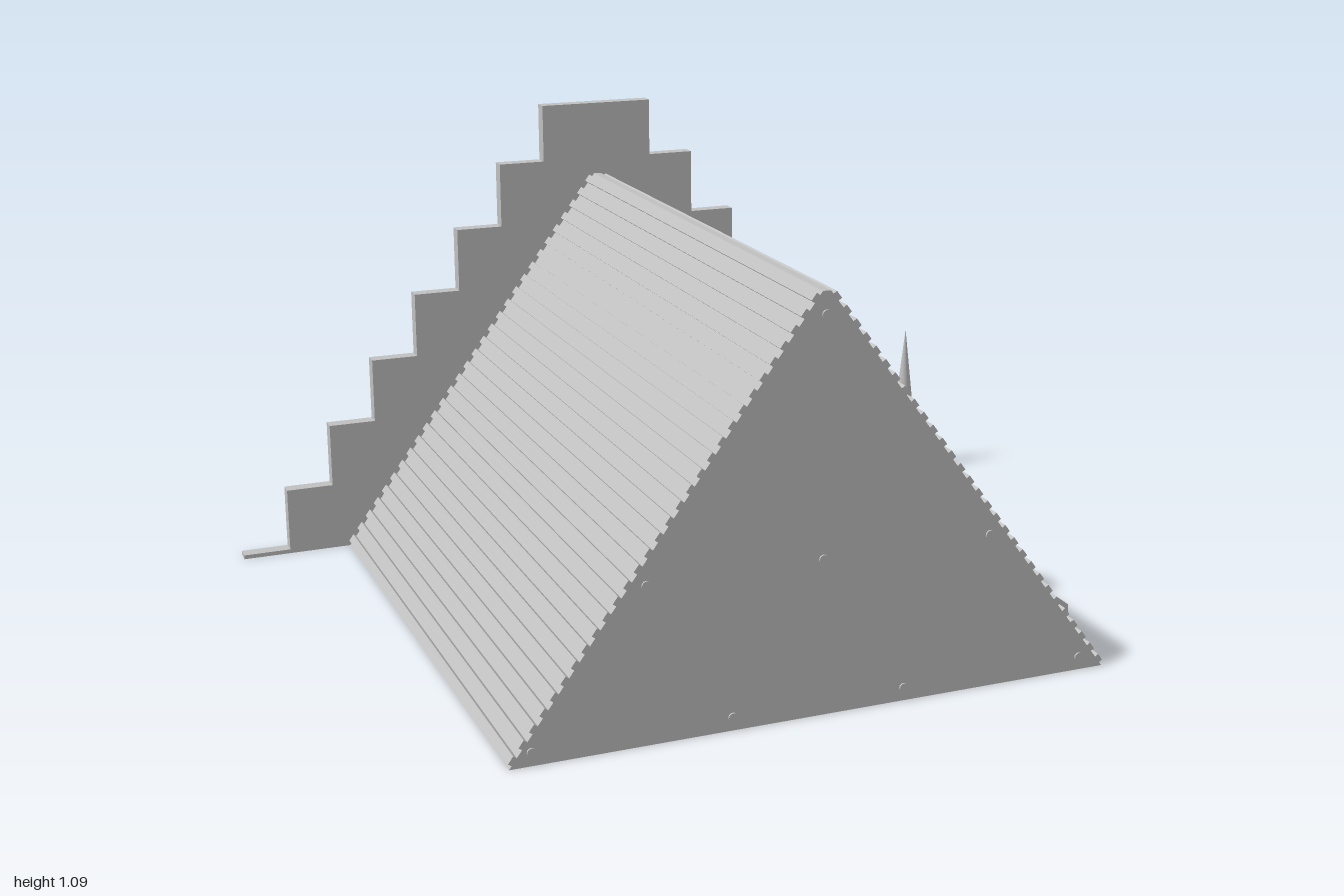
import * as THREE from 'three';

const grey = new THREE.MeshStandardMaterial({ color: 0xc0c0c0 });
grey.name = 'plain grey';

const HALF = 0.688; // half length of the roof along its ridge

export function createModel() {
  const model = new THREE.Group();
  model.name = 'steppedGableRoof';
  const house = new THREE.Group();
  house.name = 'roofAssembly';
  house.rotation.y = -0.3365;
  house.position.set(0.058, 0, 0.125);
  model.add(house);

  const add = (name, geometry) => {
    const mesh = new THREE.Mesh(geometry, grey);
    mesh.name = name;
    house.add(mesh);
    return mesh;
  };

  // Extrude a side profile of [z, y] points along x from x0 to x1
  const slab = (name, points, x0, x1) => {
    const shape = new THREE.Shape(points.map(([z, y]) => new THREE.Vector2(z, y)));
    const geometry = new THREE.ExtrudeGeometry(shape, { depth: x1 - x0, bevelEnabled: false });
    geometry.rotateY(-Math.PI / 2);
    geometry.translate(x1, 0, 0);
    return add(name, geometry);
  };

  // Mirror a right-hand profile so that it closes on both sides
  const mirrored = (half) => [...half, ...half.map(([z, y]) => [-z, y]).reverse()];

  // Roof prism with fine horizontal ribs on both slopes
  const foot = new THREE.Vector2(0.677, 0);
  const top = new THREE.Vector2(0.009, 0.908);
  const along = top.clone().sub(foot);
  const out = new THREE.Vector2(along.y, -along.x).normalize().multiplyScalar(0.009);
  const ribs = 30;
  const slope = [[foot.x, foot.y]];
  for (let i = 0; i < ribs; i++) {
    const a = foot.clone().addScaledVector(along, (i + 0.25) / ribs);
    const b = foot.clone().addScaledVector(along, (i + 0.75) / ribs);
    for (const p of [a, a.clone().add(out), b.clone().add(out), b]) slope.push([p.x, p.y]);
  }
  slope.push([top.x, top.y]);
  // Outward normal of the slope points to +z and up
  slab('ribbedRoof', mirrored(slope), -HALF, HALF);

  // Stepped gable wall standing on a thin base strip
  const heights = [0.01, 0.165, 0.32, 0.477, 0.635, 0.79, 0.947, 1.087];
  const steps = [[0.943, 0]];
  heights.forEach((y, i) => {
    const z = 0.943 - i * 0.1145;
    steps.push([z, y]);
    if (i < heights.length - 1) steps.push([z - 0.1145, y]);
  });
  slab('steppedGable', mirrored(steps), -HALF - 0.035, -HALF);

  // Slender cone at the back end of the strip
  const cone = add('cornerCone', new THREE.ConeGeometry(0.045, 0.405, 32));
  cone.position.set(-0.705, 0.2025, -0.897);

  // Wedge dormers on the back slope
  const dormer = (x, points) => slab('dormer', points, x - 0.0425, x + 0.0425);
  dormer(0.225, [[-0.329, 0.475], [-0.507, 0.395], [-0.507, 0.236], [-0.45, 0.25]]);
  for (const x of [-0.168, 0.428]) {
    dormer(x, [[-0.54, 0.194], [-0.722, 0.055], [-0.722, 0], [-0.65, 0]]);
  }

  // Small pegs on the plain gable end
  const pegs = [[0, 0.86], [-0.386, 0.345], [0, 0.345], [0.386, 0.345],
    [-0.617, 0.03], [-0.19, 0.03], [0.2, 0.03], [0.63, 0.03]];
  for (const [z, y] of pegs) {
    const peg = add('peg', new THREE.CylinderGeometry(0.01, 0.01, 0.008, 12));
    peg.rotation.z = Math.PI / 2;
    peg.position.set(HALF, y, z);
  }

  return model;
}
